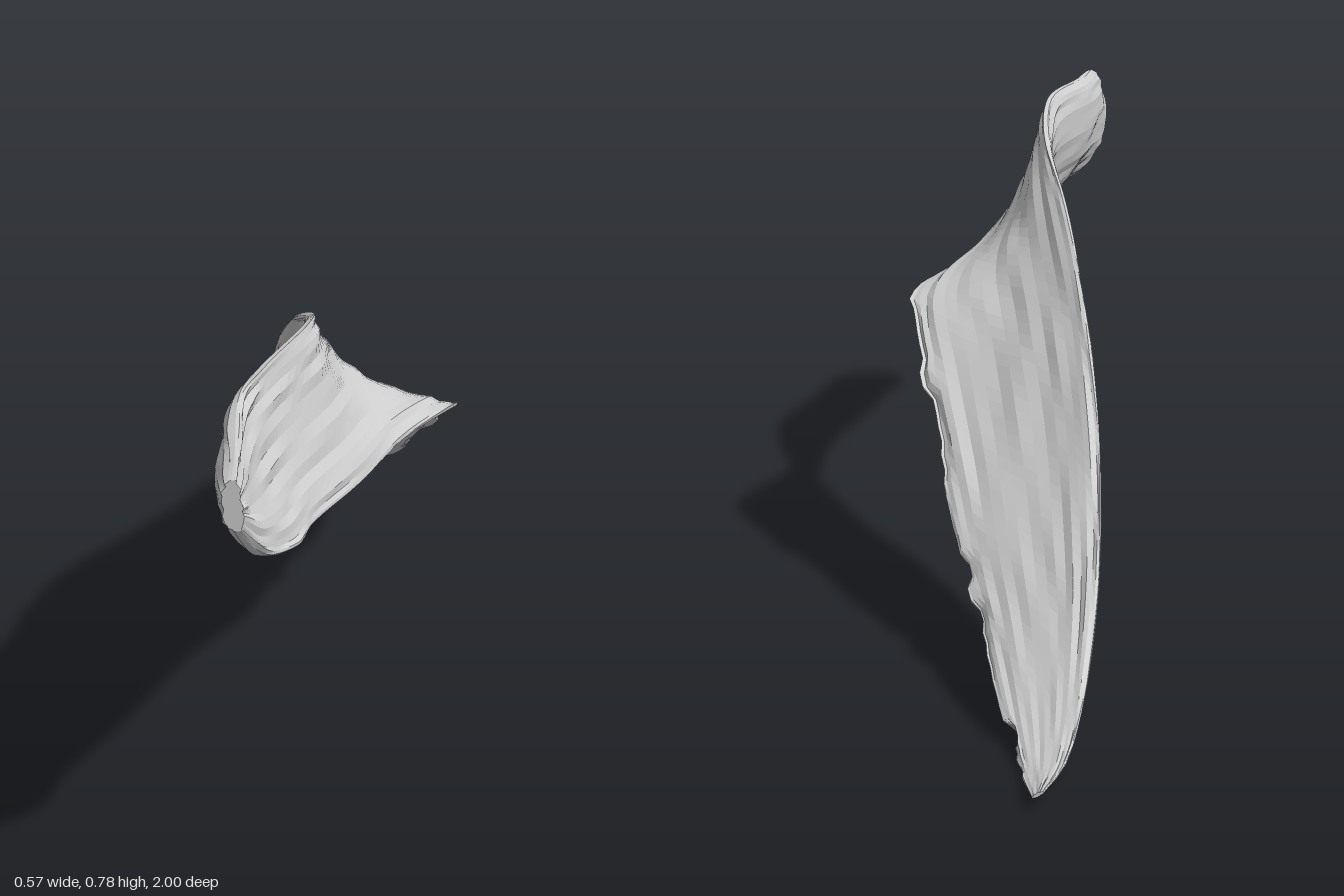
import * as THREE from 'three';

// Small repeatable noise, 0..1
function hash(a, b) {
  const s = Math.sin(a * 127.1 + b * 311.7) * 43758.5453;
  return s - Math.floor(s);
}

// Noise stretched along the length, so it reads as fibre grooves
function grain(i, j) {
  const s = i / 5 + hash(j, 9) * 5, k = Math.floor(s), f = s - k;
  return THREE.MathUtils.lerp(hash(k, j), hash(k + 1, j), f) - 0.5;
}

// Stations: z, upper edge x y, lower edge x y, thickness, sag of the middle
const stations = [
  [1.0, -0.266, 0.69, -0.258, 0.61, 0.028, 0.004],
  [0.96, -0.256, 0.745, -0.212, 0.552, 0.05, 0.022],
  [0.91, -0.244, 0.779, -0.162, 0.536, 0.054, 0.026],
  [0.8, -0.195, 0.781, -0.108, 0.528, 0.054, 0.026],
  [0.6, -0.086, 0.778, 0.015, 0.511, 0.046, 0.026],
  [0.4, -0.038, 0.728, 0.13, 0.498, 0.04, 0.036],
  [0.2, -0.028, 0.655, 0.272, 0.473, 0.034, 0.044],
  [0.0, -0.016, 0.548, 0.283, 0.36, 0.033, 0.032],
  [-0.2, 0.002, 0.402, 0.278, 0.24, 0.031, 0.018],
  [-0.4, 0.037, 0.27, 0.279, 0.14, 0.027, 0.009],
  [-0.6, 0.088, 0.17, 0.277, 0.08, 0.022, 0.004],
  [-0.8, 0.16, 0.06, 0.276, 0.018, 0.016, 0.003],
  [-0.9, 0.206, 0.024, 0.276, 0.006, 0.012, 0.002],
  [-1.0, 0.262, 0.028, 0.28, 0.02, 0.006, 0],
];

function twistedBlade(rows, sides) {
  const upper = new THREE.CatmullRomCurve3(stations.map(s => new THREE.Vector3(s[1], s[2], s[0])));
  const lower = new THREE.CatmullRomCurve3(stations.map(s => new THREE.Vector3(s[3], s[4], s[0])));
  const pos = [], index = [];

  for (let i = 0; i <= rows; i++) {
    const t = i / rows, u = upper.getPoint(t), l = lower.getPoint(t);
    const at = t * (stations.length - 1), k = Math.min(Math.floor(at), stations.length - 2);
    const between = column => THREE.MathUtils.lerp(stations[k][column], stations[k + 1][column], at - k);
    const thick = between(5), sag = between(6);
    const mid = u.clone().add(l).multiplyScalar(0.5);
    const half = u.clone().sub(l).multiplyScalar(0.5);
    const normal = new THREE.Vector3(half.y, -half.x, 0).normalize();
    // Torn notches along the lower edge of the flat half
    const torn = mid.z < 0.2 && mid.z > -0.9 ? 0.02 * hash(Math.floor(i / 2), 3) ** 2 : 0;

    for (let j = 0; j < sides; j++) {
      const a = (j / sides) * Math.PI * 2, c = Math.cos(a), s = Math.sin(a);
      const rough = grain(i, j) * Math.min(0.01, thick * 0.3);
      const blunt = Math.sign(s) * Math.abs(s) ** 0.8;
      const off = blunt * thick * 0.5 - s * s * sag + rough;
      const p = mid.clone().addScaledVector(half, c).addScaledVector(normal, off);
      p.x -= torn * Math.max(0, -c - 0.75) * 4;
      p.y = Math.max(p.y, 0);
      pos.push(p.x, p.y, p.z);
    }
  }

  for (let i = 0; i < rows; i++) {
    for (let j = 0; j < sides; j++) {
      const n = (j + 1) % sides;
      const a = i * sides + j, b = i * sides + n, c = a + sides, d = b + sides;
      index.push(a, b, c, b, d, c);
    }
  }

  // Close both ends with a fan
  const last = rows * sides;
  for (let j = 1; j < sides - 1; j++) {
    index.push(0, j + 1, j, last, last + j, last + j + 1);
  }

  const g = new THREE.BufferGeometry();
  g.setAttribute('position', new THREE.Float32BufferAttribute(pos, 3));
  g.setIndex(index);
  const flat = g.toNonIndexed(); // faceted surface
  flat.computeVertexNormals();
  return flat;
}

export function createModel() {
  const group = new THREE.Group();
  group.name = 'twistedBark';
  const barkGrey = new THREE.MeshStandardMaterial({ color: 0xcccccc });
  barkGrey.name = 'barkGrey';
  const bark = new THREE.Mesh(twistedBlade(91, 40), barkGrey);
  bark.name = 'barkStrip';
  group.add(bark);
  return group;
}
